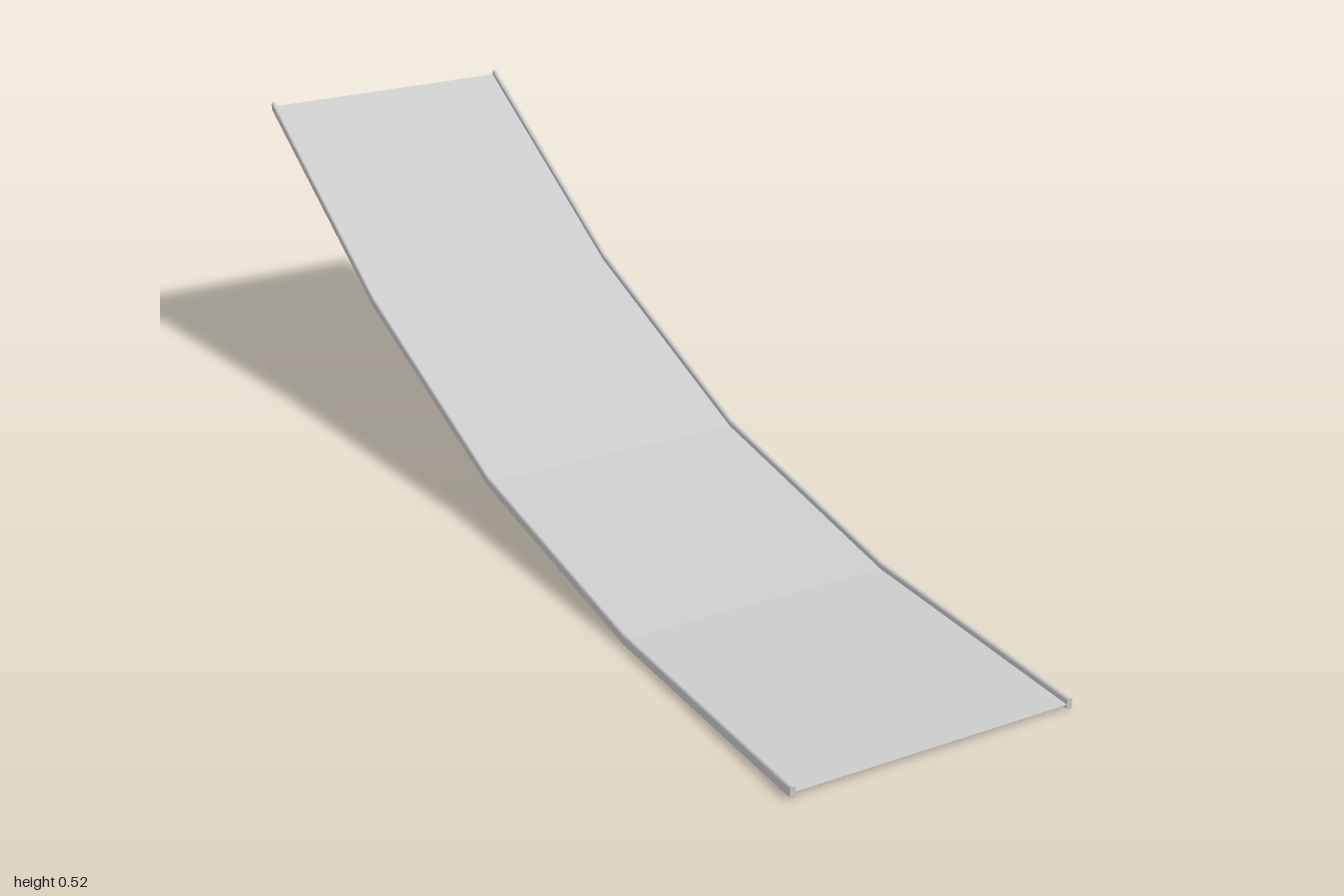
import * as THREE from 'three';

// Ramp height at the five stations z = -1, -0.5, 0, 0.5, 1
const heights = [0.508, 0.247, 0.078, 0.01, 0.01];

// Lift every vertex by the ramp height at its station, then facet the normals
function bend(geometry) {
  const g = geometry.index ? geometry.toNonIndexed() : geometry;
  const p = g.attributes.position;
  for (let i = 0; i < p.count; i++) {
    p.setY(i, p.getY(i) + heights[Math.round((p.getZ(i) + 1) * 2)]);
  }
  g.computeVertexNormals();
  return g;
}

// Upright slot-shaped cross-section of a side rail
function railSection(halfWidth, halfHeight) {
  const s = new THREE.Shape();
  const c = halfHeight - halfWidth;
  s.absarc(0, c, halfWidth, 0, Math.PI, false);
  s.absarc(0, -c, halfWidth, Math.PI, Math.PI * 2, false);
  s.closePath();
  return s;
}

export function createModel() {
  const group = new THREE.Group();
  group.name = 'ramp';
  const material = new THREE.MeshStandardMaterial({ color: 0xcccccc, side: THREE.DoubleSide });

  // Thin deck of four flat panels
  const deck = new THREE.Mesh(bend(new THREE.PlaneGeometry(0.5, 2, 1, 4).rotateX(-Math.PI / 2)), material);
  deck.name = 'deck';
  group.add(deck);

  // Rails along both edges
  for (const [side, name] of [[1, 'leftRail'], [-1, 'rightRail']]) {
    const geometry = new THREE.ExtrudeGeometry(railSection(0.005, 0.01), {
      depth: 2, steps: 4, curveSegments: 8, bevelEnabled: false,
    }).translate(side * 0.252, 0, -1);
    const rail = new THREE.Mesh(bend(geometry), material);
    rail.name = name;
    group.add(rail);
  }
  return group;
}
